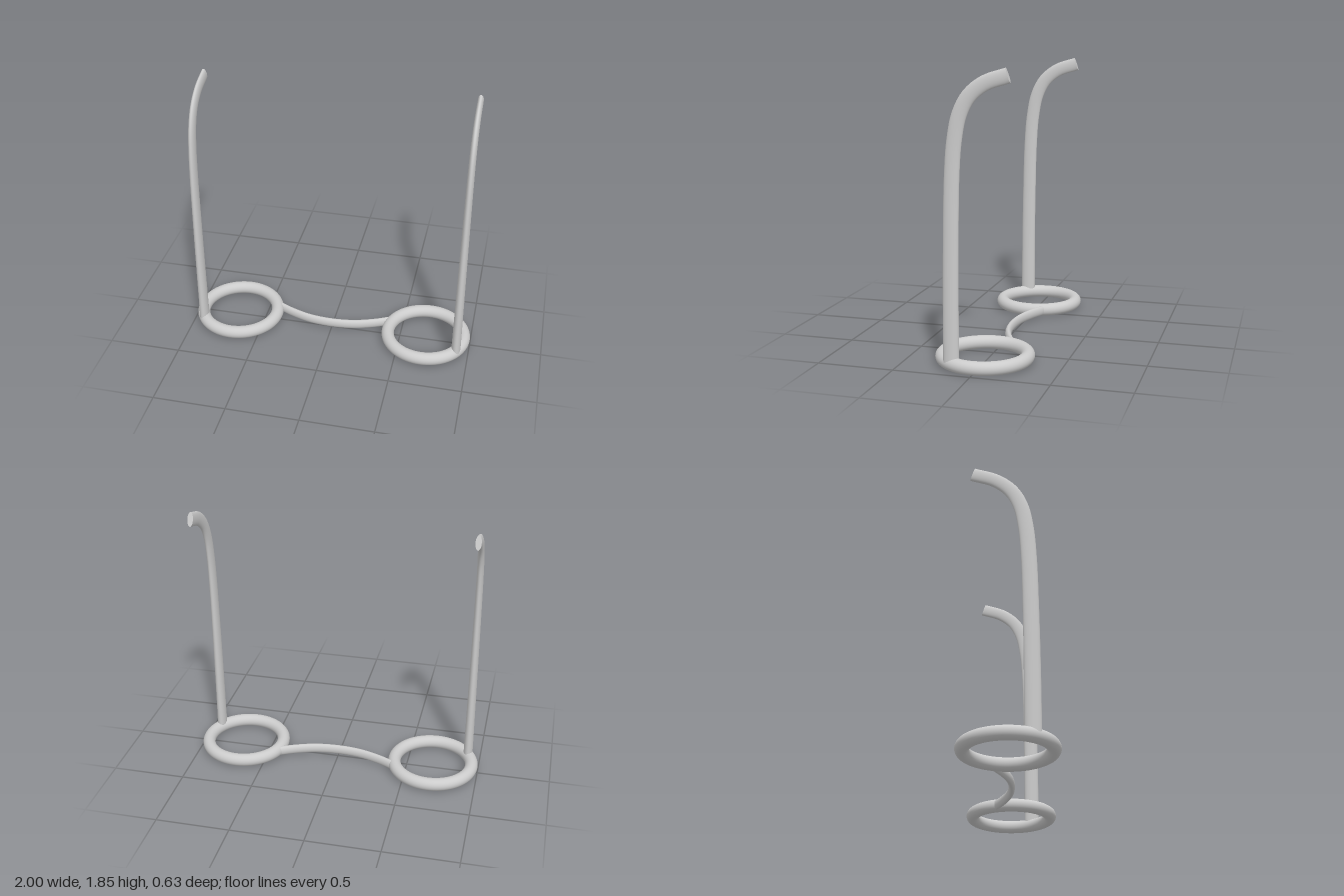
import * as THREE from 'three';

const v = (x, y, z) => new THREE.Vector3(x, y, z);

// Sweeps an ellipse along a planar curve. `axis` is the normal of the curve's plane;
// a(t) is the half width along that axis, b(t) the half width within the plane.
function sweep(curve, axis, a, b, steps = 48, sides = 28) {
  const pos = [], index = [], rings = [];
  for (let i = 0; i <= steps; i++) {
    const t = i / steps;
    const c = curve.getPointAt(t);
    const n = curve.getTangentAt(t).cross(axis).normalize();
    const ring = [];
    for (let j = 0; j < sides; j++) {
      const u = (j / sides) * Math.PI * 2;
      ring.push(c.clone()
        .addScaledVector(axis, a(t) * Math.cos(u))
        .addScaledVector(n, b(t) * Math.sin(u)));
    }
    rings.push(ring);
    ring.forEach((p) => pos.push(p.x, p.y, p.z));
  }
  for (let i = 0; i < steps; i++) {
    for (let j = 0; j < sides; j++) {
      const k = (j + 1) % sides, p = i * sides, q = p + sides;
      index.push(p + j, p + k, q + j, p + k, q + k, q + j);
    }
  }
  // flat end caps with their own vertices, so the rim stays sharp
  [0, 1].forEach((end) => {
    const base = pos.length / 3;
    const c = curve.getPointAt(end);
    pos.push(c.x, c.y, c.z);
    rings[end * steps].forEach((p) => pos.push(p.x, p.y, p.z));
    for (let j = 0; j < sides; j++) {
      const p = base + 1 + j, q = base + 1 + ((j + 1) % sides);
      if (end) index.push(base, p, q);
      else index.push(base, q, p);
    }
  });
  const g = new THREE.BufferGeometry();
  g.setAttribute('position', new THREE.Float32BufferAttribute(pos, 3));
  g.setIndex(index);
  g.computeVertexNormals();
  return g;
}

export function createModel() {
  const group = new THREE.Group();
  const material = new THREE.MeshStandardMaterial({ color: 0xcccccc });
  const add = (name, geometry) => {
    const mesh = new THREE.Mesh(geometry, material);
    mesh.name = name;
    group.add(mesh);
    return mesh;
  };

  const rimY = 0.049;

  for (const [side, s] of [['left', 1], ['right', -1]]) {
    // round lens rim lying flat
    const rim = add(side + 'Rim', new THREE.TorusGeometry(0.271, 0.044, 28, 80).rotateX(Math.PI / 2));
    rim.position.set(s * 0.685, rimY, 0);

    // temple arm rising from the rim, hooked back at the ear end and thinning sideways
    const path = new THREE.CatmullRomCurve3([
      [0.045, 0.146], [0.45, 0.145], [0.85, 0.14], [1.2, 0.131], [1.42, 0.114],
      [1.58, 0.081], [1.69, 0.022], [1.767, -0.075], [1.815, -0.22],
    ].map(([y, z]) => v(s * (0.917 + 0.002 * y), y, z)));
    add(side + 'Temple', sweep(path, v(1, 0, 0),
      (t) => THREE.MathUtils.lerp(0.032, 0.019, t),
      (t) => THREE.MathUtils.lerp(0.051, 0.047, t), 64));
  }

  // bowed nose bridge between the rims
  const bow = new THREE.CatmullRomCurve3([
    v(-0.42, rimY, -0.102), v(-0.3, rimY, -0.046), v(-0.16, rimY, -0.002), v(0, rimY, 0.013),
    v(0.16, rimY, -0.002), v(0.3, rimY, -0.046), v(0.42, rimY, -0.102),
  ]);
  add('bridge', sweep(bow, v(0, 1, 0), () => 0.034, () => 0.021));

  return group;
}
